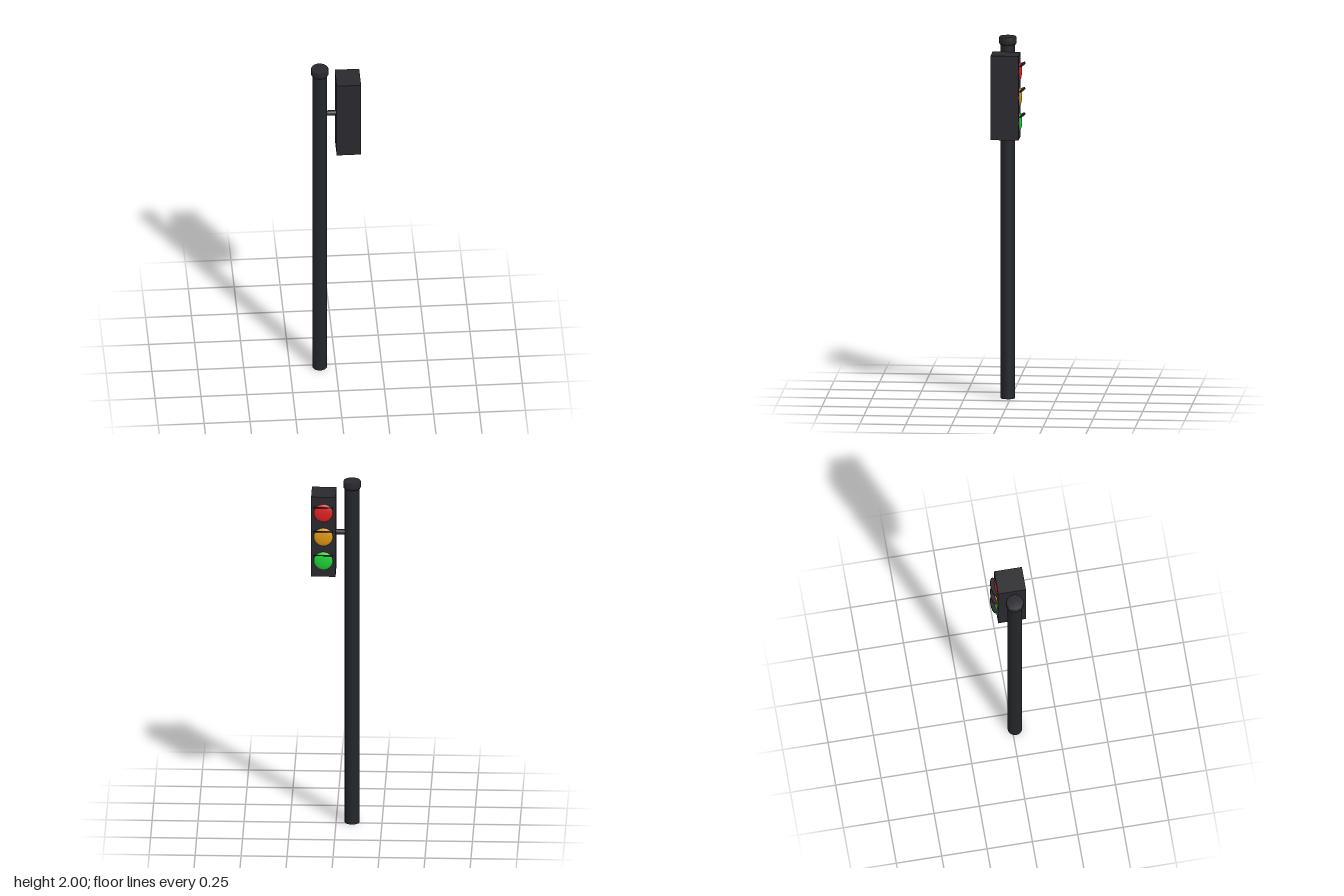
import * as THREE from 'three';

const POLE_X = -0.087, POLE_Z = 0.015;
const HEAD_X = 0.067, HEAD_Y = 1.698, FACE_Z = -0.062;

const paint = (color) => new THREE.MeshStandardMaterial({ color });

function part(parent, name, geometry, material, x, y, z) {
  const mesh = new THREE.Mesh(geometry, material);
  mesh.name = name;
  mesh.position.set(x, y, z);
  parent.add(mesh);
  return mesh;
}

export function createModel() {
  const model = new THREE.Group();
  model.name = 'trafficLight';
  const poleMat = paint(0x23262a);
  const darkMat = paint(0x29292e);

  // Round pole with a wider cap
  part(model, 'pole', new THREE.CylinderGeometry(0.04, 0.04, 1.97, 20), poleMat, POLE_X, 0.985, POLE_Z);
  const capProfile = [[0, 1.957], [0.044, 1.957], [0.048, 1.964], [0.048, 1.994], [0.045, 2], [0, 2]]
    .map(([r, y]) => new THREE.Vector2(r, y));
  part(model, 'poleCap', new THREE.LatheGeometry(capProfile, 20), darkMat, POLE_X, 0, POLE_Z);

  // Short arm joining the pole and the lamp housing
  const arm = part(model, 'arm', new THREE.CylinderGeometry(0.015, 0.015, 0.09, 16), darkMat, -0.025, HEAD_Y, POLE_Z);
  arm.rotation.z = Math.PI / 2;

  // Lamp housing, its lamps facing -z
  part(model, 'housing', new THREE.BoxGeometry(0.133, 0.465, 0.153), darkMat, HEAD_X, HEAD_Y, 0.0145);

  // Domed lenses, each under a thin tilted visor
  const lensGeo = new THREE.SphereGeometry(0.052, 24, 8, 0, Math.PI * 2, 0, Math.PI / 2);
  lensGeo.scale(1, 0.25, 1).rotateX(-Math.PI / 2);
  const visorGeo = new THREE.CylinderGeometry(0.052, 0.052, 0.006, 24);
  visorGeo.scale(1, 1, 0.38).rotateX(0.45);
  const lamps = [['red', 0xe02222], ['amber', 0xdf9812], ['green', 0x1ed035]];
  lamps.forEach(([name, color], i) => {
    const lamp = new THREE.Group();
    lamp.name = name + 'Lamp';
    lamp.position.set(HEAD_X, HEAD_Y + (1 - i) * 0.14, FACE_Z);
    part(lamp, name + 'Lens', lensGeo, paint(color), 0, 0, 0);
    part(lamp, name + 'Visor', visorGeo, darkMat, 0, 0.036, -0.013);
    model.add(lamp);
  });

  return model;
}
